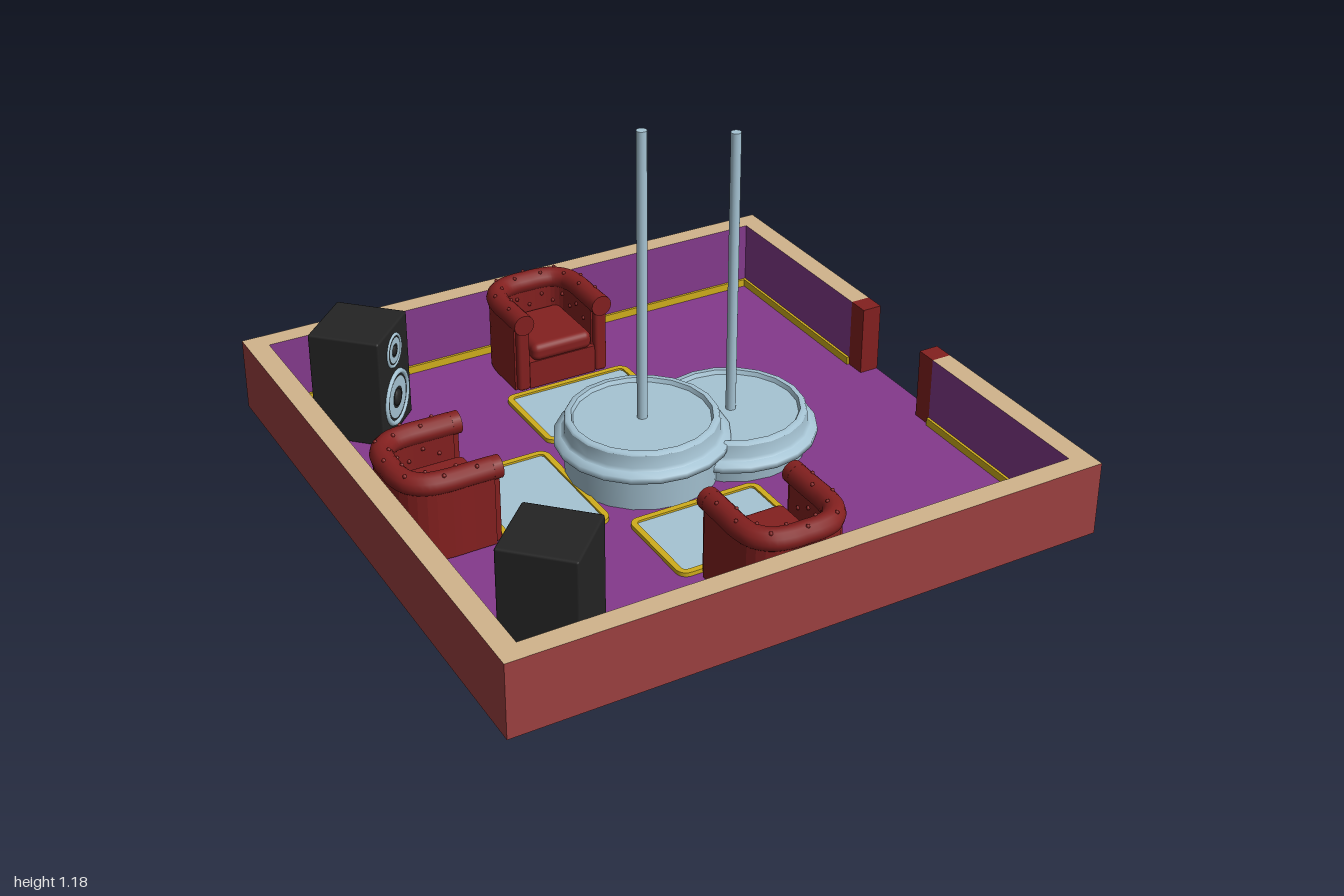
import * as THREE from 'three';
import { RoundedBoxGeometry } from 'three/addons/geometries/RoundedBoxGeometry.js';

const mat = (name, color, side = THREE.FrontSide) => {
  const m = new THREE.MeshStandardMaterial({ color, side });
  m.name = name;
  return m;
};

export function createModel() {
  const brick = mat('brick red', 0x9c4040);
  const tan = mat('tan', 0xd2b48c);
  const purple = mat('purple', 0x843a8c);
  const gold = mat('gold', 0xd0ae1c);
  const steel = mat('pale steel blue', 0xa6c4d4, THREE.DoubleSide);
  const leather = mat('dark red', 0x83201f);
  const black = mat('black', 0x242424);

  const root = new THREE.Group();
  root.name = 'loungeRoom';
  const add = (parent, name, geo, material, x = 0, y = 0, z = 0) => {
    const m = new THREE.Mesh(geo, material);
    m.name = name;
    m.position.set(x, y, z);
    parent.add(m);
    return m;
  };
  // Box from its minimum and maximum corners
  const box = (name, x0, x1, y0, y1, z0, z1, material) =>
    add(root, name, new THREE.BoxGeometry(x1 - x0, y1 - y0, z1 - z0), material,
      (x0 + x1) / 2, (y0 + y1) / 2, (z0 + z1) / 2);

  // Floor and walls: brick outside, purple inside, tan top and bottom edges
  const H = 0.253, I = 0.93, D = 0.235;
  box('floor', -0.998, 0.998, 0.001, 0.008, -0.998, 0.96, purple);
  box('backWall', -1, 1, 0.002, H, -1, -I, [brick, brick, tan, tan, purple, brick]);
  box('frontWall', -1, 1, 0.002, H, I, 1, [brick, brick, tan, tan, brick, purple]);
  box('rightWall', -1, -I, 0.002, H, -I, I, [purple, brick, tan, tan, brick, brick]);
  for (const s of [-1, 1]) {
    const [a, b] = s > 0 ? [D, I] : [-I, -D];
    box('leftWall', I, 1, 0.002, H, a, b, [brick, purple, tan, tan, brick, brick]);
    const [c, d] = s > 0 ? [0.163, D] : [-D, -0.163];
    box('doorPost', I, 1, 0.002, H, c, d, leather);
    box('doorSkirting', I - 0.009, I, 0.008, 0.035, a, b, gold);
    const z = s * (I - 0.0045);
    box('skirting', -I, I, 0.008, 0.035, z - 0.0045, z + 0.0045, gold);
  }
  box('rightSkirting', -I, -I + 0.009, 0.008, 0.035, -I, I, gold);

  // Round dance stages with a ledge, raised rim and pole
  const stage = (x, lift, poleTop) => {
    const g = new THREE.Group();
    g.name = 'stage';
    g.position.x = x;
    const facets = [
      [[0, 0], [0.25, 0]],
      [[0.25, 0], [0.258, 0.055 + lift]],
      [[0.258, 0.055 + lift], [0.285, 0.06 + lift], [0.285, 0.08 + lift], [0.262, 0.09 + lift]],
      [[0.262, 0.09 + lift], [0.252, 0.098 + lift], [0.25, 0.14 + lift]],
      [[0.25, 0.14 + lift], [0.245, 0.148 + lift], [0.228, 0.148 + lift]],
      [[0.228, 0.148 + lift], [0.222, 0.134 + lift]],
      [[0.222, 0.134 + lift], [0, 0.134 + lift]],
    ];
    for (const f of facets) {
      add(g, 'stageBand', new THREE.LatheGeometry(f.map(p => new THREE.Vector2(...p)), 20), steel);
    }
    const base = 0.13 + lift;
    add(g, 'pole', new THREE.CylinderGeometry(0.017, 0.017, poleTop - base, 16), steel, 0, (poleTop + base) / 2, 0);
    root.add(g);
  };
  stage(-0.03, 0.063, 1.185);
  stage(0.3, 0, 1.11);

  // Floor panels with rounded gold frames
  const roundRect = (C, w, d, r) => {
    const s = new C(), x = w / 2, y = d / 2;
    s.moveTo(-x + r, -y).lineTo(x - r, -y);
    s.absarc(x - r, -y + r, r, -Math.PI / 2, 0);
    s.absarc(x - r, y - r, r, 0, Math.PI / 2);
    s.absarc(-x + r, y - r, r, Math.PI / 2, Math.PI);
    s.absarc(-x + r, -y + r, r, Math.PI, Math.PI * 1.5);
    return s;
  };
  const flat = (shape, depth) =>
    new THREE.ExtrudeGeometry(shape, { depth, bevelEnabled: false, curveSegments: 6 }).rotateX(-Math.PI / 2);
  const panel = (x, z, turn) => {
    const g = new THREE.Group();
    g.name = 'floorPanel';
    g.position.set(x, 0.006, z);
    g.rotation.y = turn;
    const frame = roundRect(THREE.Shape, 0.462, 0.335, 0.035);
    frame.holes.push(roundRect(THREE.Path, 0.422, 0.295, 0.015));
    add(g, 'panelFrame', flat(frame, 0.016), gold);
    add(g, 'panelPlate', flat(roundRect(THREE.Shape, 0.424, 0.297, 0.015), 0.009), steel);
    root.add(g);
  };
  panel(0, -0.432, 0);
  panel(0, 0.432, 0);
  panel(-0.43, 0, Math.PI / 2);

  // Tub armchair: curved shell, rolled top, seat and buttons; faces +z
  const half = [[0.147, 0.135], [0.147, 0.06], [0.147, -0.02], [0.135, -0.075], [0.1, -0.113], [0.05, -0.127]];
  const path = [...half, [0, -0.128], ...half.map(([x, z]) => [-x, z]).reverse()];
  const curve = new THREE.CatmullRomCurve3(path.map(([x, z]) => new THREE.Vector3(x, 0, z)));
  // Point beside the curve; positive offsets lie outside
  const beside = (t, off) => {
    const p = curve.getPointAt(t), d = curve.getTangentAt(t);
    return new THREE.Vector3(p.x - d.z * off, 0, p.z + d.x * off);
  };
  const ts = Array.from({ length: 33 }, (_, i) => i / 32);
  const ring = [...ts.map(t => beside(t, -0.028)), ...ts.map(t => beside(t, 0.028)).reverse()];
  const shellShape = new THREE.Shape(ring.map(p => new THREE.Vector2(p.x, -p.z)));
  const buttonGeo = new THREE.SphereGeometry(0.007, 6, 4);
  const armchair = (x, z, turn) => {
    const g = new THREE.Group();
    g.name = 'armchair';
    g.position.set(x, 0.006, z);
    g.rotation.y = turn;
    add(g, 'shell', flat(shellShape, 0.255), leather, 0, 0.01, 0);
    add(g, 'rolledTop', new THREE.TubeGeometry(curve, 48, 0.037, 12), leather, 0, 0.265, 0);
    for (const s of [-1, 1]) {
      add(g, 'armScroll', new THREE.CylinderGeometry(0.037, 0.037, 0.03, 16).rotateX(Math.PI / 2), leather, s * 0.147, 0.265, 0.148);
      add(g, 'armFront', new RoundedBoxGeometry(0.045, 0.24, 0.03, 2, 0.012), leather, s * 0.147, 0.13, 0.142);
    }
    add(g, 'seatBase', new THREE.BoxGeometry(0.25, 0.1, 0.25), leather, 0, 0.06, 0.025);
    add(g, 'seatCushion', new RoundedBoxGeometry(0.226, 0.065, 0.26, 3, 0.025), leather, 0, 0.14, 0.03);
    // Buttons on the inner back and along the roll
    for (let i = 1; i < 14; i++) {
      const t = i / 14, odd = i % 2;
      const inner = beside(t, -0.029), top = beside(t, odd ? 0.018 : -0.018);
      add(g, 'button', buttonGeo, leather, inner.x, odd ? 0.19 : 0.22, inner.z);
      add(g, 'button', buttonGeo, leather, top.x, 0.297, top.z);
    }
    root.add(g);
  };
  armchair(0, -0.765, 0);
  armchair(0, 0.765, Math.PI);
  armchair(-0.765, 0, Math.PI / 2);

  // Loudspeakers turned to the room's centre
  const speaker = (x, z, turn) => {
    const g = new THREE.Group();
    g.name = 'loudspeaker';
    g.position.set(x, 0, z);
    g.rotation.y = turn;
    add(g, 'cabinet', new RoundedBoxGeometry(0.246, 0.382, 0.246, 1, 0.008), black, 0, 0.199, 0);
    for (const [y, r] of [[0.305, 0.06], [0.13, 0.098]]) {
      const driver = new THREE.Group();
      driver.name = 'driver';
      driver.position.set(0, y, 0.123);
      add(driver, 'driverRim', new THREE.TorusGeometry(r * 0.9, r * 0.1, 8, 24), steel);
      add(driver, 'driverSurround', new THREE.CircleGeometry(r * 0.86, 24), black, 0, 0, 0.002);
      add(driver, 'driverCone', new THREE.RingGeometry(r * 0.38, r * 0.74, 24), steel, 0, 0, 0.004);
      add(driver, 'driverCap', new THREE.SphereGeometry(r * 0.3, 12, 6).scale(1, 1, 0.4), black, 0, 0, 0.002);
      g.add(driver);
    }
    root.add(g);
  };
  speaker(-0.705, -0.692, Math.PI / 4);
  speaker(-0.705, 0.69, Math.PI * 0.75);

  return root;
}
